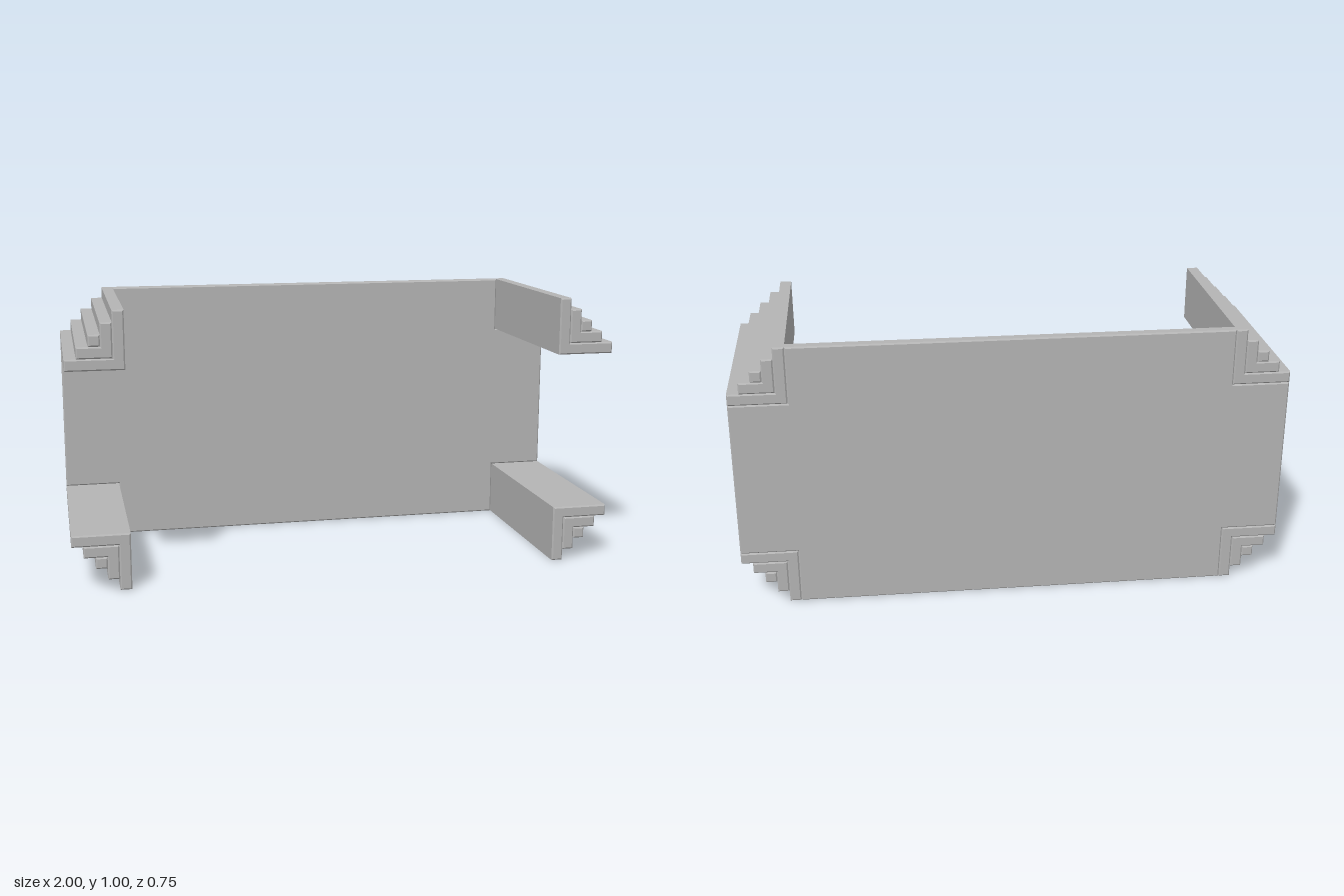
import * as THREE from 'three';

const STEP = 1 / 24;      // width of one stair step
const BEVEL = 0.005;      // softened rim of every board
const BACK = -0.375;
const FRONT = 0.375;
const PANEL_FRONT = -0.335;

const grey = new THREE.MeshStandardMaterial({ color: 0xb4b4b4 });
grey.name = 'grey';

// Extrudes an outline between two z values, with chamfered front and back rims
function board(name, points, z0, z1) {
  const shape = new THREE.Shape(points.map(([x, y]) => new THREE.Vector2(x, y)));
  const geometry = new THREE.ExtrudeGeometry(shape, {
    depth: z1 - z0 - 2 * BEVEL,
    bevelEnabled: true,
    bevelThickness: BEVEL,
    bevelSize: BEVEL,
    bevelOffset: -BEVEL,
    bevelSegments: 1,
  });
  geometry.translate(0, 0, z0 + BEVEL);
  const mesh = new THREE.Mesh(geometry, grey);
  mesh.name = name;
  return mesh;
}

export function createModel() {
  const group = new THREE.Group();
  group.name = 'steppedTable';

  // Cross-shaped panel with a square notch at each corner
  const ix = 1 - 5 * STEP;
  const y0 = 5 * STEP;
  const y1 = 1 - y0;
  group.add(board('panel', [
    [-ix, 0], [ix, 0], [ix, y0], [1, y0], [1, y1], [ix, y1],
    [ix, 1], [-ix, 1], [-ix, y1], [-1, y1], [-1, y0], [-ix, y0],
  ], BACK, PANEL_FRONT));

  // Four legs, each of two nested angle bars around a square core
  for (const sx of [-1, 1]) {
    for (const sy of [-1, 1]) {
      const leg = new THREE.Group();
      leg.name = (sy > 0 ? 'upper' : 'lower') + (sx > 0 ? 'Left' : 'Right') + 'Leg';
      // u and v count steps outward from the notch's inner corner
      const at = ([u, v]) => [
        sx * (ix + u * STEP),
        0.5 + sy * (0.5 - 5 * STEP + v * STEP),
      ];
      const bars = {
        outerAngle: [[0, 0], [5, 0], [5, 1], [1, 1], [1, 5], [0, 5]],
        innerAngle: [[1, 1], [4, 1], [4, 2], [2, 2], [2, 4], [1, 4]],
        core: [[2, 2], [3, 2], [3, 3], [2, 3]],
      };
      for (const [name, outline] of Object.entries(bars)) {
        leg.add(board(name, outline.map(at), BACK, FRONT));
      }
      group.add(leg);
    }
  }
  return group;
}
